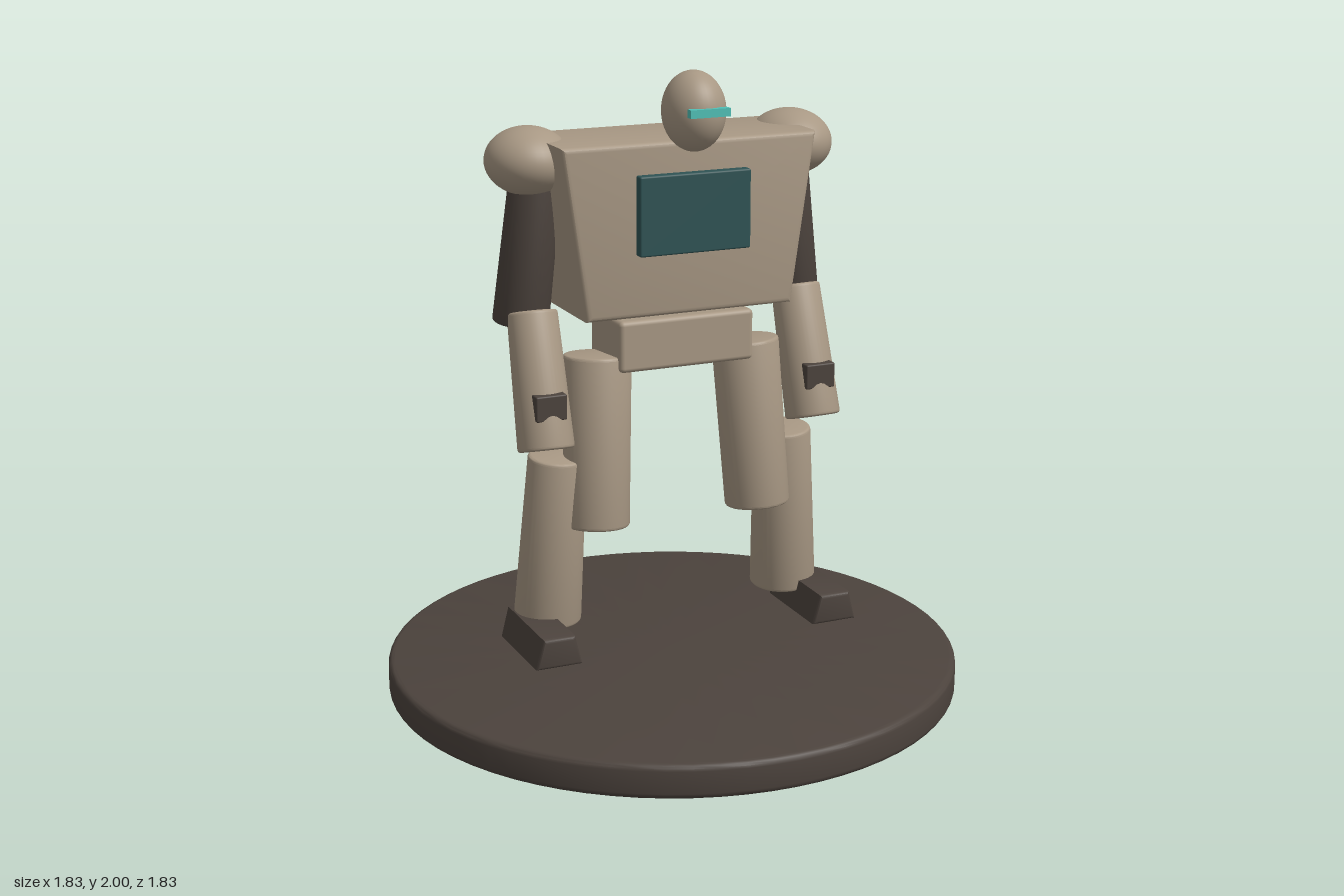
import * as THREE from 'three';
import { toCreasedNormals } from 'three/addons/utils/BufferGeometryUtils.js';
import { RoundedBoxGeometry } from 'three/addons/geometries/RoundedBoxGeometry.js';

const material = (name, color) => {
  const m = new THREE.MeshStandardMaterial({ color });
  m.name = name;
  return m;
};

// Round bar of height h with softened rims, centred on its axis
function roundBar(rBottom, rTop, h, bevel, segments) {
  const pts = [new THREE.Vector2(0, -h / 2)];
  for (let i = 0; i <= 4; i++) {
    const a = (i / 4) * Math.PI / 2;
    pts.push(new THREE.Vector2(rBottom - bevel + bevel * Math.sin(a), -h / 2 + bevel - bevel * Math.cos(a)));
  }
  for (let i = 0; i <= 4; i++) {
    const a = (i / 4) * Math.PI / 2;
    pts.push(new THREE.Vector2(rTop - bevel + bevel * Math.cos(a), h / 2 - bevel + bevel * Math.sin(a)));
  }
  pts.push(new THREE.Vector2(0, h / 2));
  return toCreasedNormals(new THREE.LatheGeometry(pts, segments), 0.45);
}

// Bevelled block with a trapezoid front, centred on the origin
function taperedBlock(halfBottom, halfTop, h, depth, bevel) {
  const s = new THREE.Shape();
  s.moveTo(-halfBottom, -h / 2);
  s.lineTo(halfBottom, -h / 2);
  s.lineTo(halfTop, h / 2);
  s.lineTo(-halfTop, h / 2);
  s.closePath();
  const g = new THREE.ExtrudeGeometry(s, {
    depth: depth - 2 * bevel, bevelThickness: bevel, bevelSize: bevel, bevelOffset: -bevel, bevelSegments: 3,
  });
  g.translate(0, 0, bevel - depth / 2);
  return toCreasedNormals(g, 0.6);
}

export function createModel() {
  const model = new THREE.Group();
  model.name = 'robotFigure';
  const tan = material('tan armour', 0xa89884);
  const dark = material('dark brown', 0x4c433d);
  const teal = material('deep teal', 0x2f5354);
  const glow = material('bright turquoise', 0x50c0b6);

  const add = (name, geometry, mat, x, y, z, parent = model) => {
    const mesh = new THREE.Mesh(geometry, mat);
    mesh.name = name;
    mesh.position.set(x, y, z);
    parent.add(mesh);
    return mesh;
  };

  // Tapered limb running from a top point to a bottom point
  const addLimb = (name, mat, top, rTop, bottom, rBottom, parent) => {
    const a = new THREE.Vector3(...top), b = new THREE.Vector3(...bottom);
    const axis = a.clone().sub(b);
    const mid = a.clone().add(b).multiplyScalar(0.5);
    const mesh = add(name, roundBar(rBottom, rTop, axis.length(), 0.01, 40), mat, mid.x, mid.y, mid.z, parent);
    mesh.quaternion.setFromUnitVectors(new THREE.Vector3(0, 1, 0), axis.normalize());
    return mesh;
  };

  const addEllipsoid = (name, mat, pos, radii, parent) =>
    add(name, new THREE.SphereGeometry(1, 40, 28), mat, ...pos, parent).scale.set(...radii);

  // Display base
  add('base', roundBar(0.915, 0.915, 0.11, 0.02, 72), dark, 0, 0.055, 0);

  // Torso and pelvis
  add('torso', taperedBlock(0.342, 0.42, 0.535, 0.35, 0.018), tan, 0, 1.522, -0.024);
  add('chestPanel', new RoundedBoxGeometry(0.366, 0.245, 0.05, 2, 0.006), teal, 0, 1.572, 0.157);
  add('pelvis', new RoundedBoxGeometry(0.45, 0.162, 0.245, 3, 0.015), tan, 0, 1.159, 0);

  // Head and visor
  addEllipsoid('head', tan, [0, 1.879, 0.16], [0.095, 0.122, 0.111]);
  add('visor', new THREE.BoxGeometry(0.128, 0.025, 0.027), glow, 0, 1.888, 0.27);

  // Arms and legs, mirrored across x
  for (const [side, s] of [['left', 1], ['right', -1]]) {
    const arm = new THREE.Group();
    arm.name = side + 'Arm';
    addEllipsoid('shoulder', tan, [s * 0.441, 1.722, -0.079], [0.132, 0.105, 0.145], arm);
    addLimb('upperArm', dark, [s * 0.412, 1.72, -0.077], 0.08, [s * 0.466, 1.215, -0.1], 0.088, arm);
    addLimb('forearm', tan, [s * 0.45, 1.263, -0.04], 0.078, [s * 0.457, 0.855, 0.085], 0.088, arm);
    add('wristBlock', new RoundedBoxGeometry(0.1, 0.08, 0.07, 2, 0.005), dark, s * 0.456, 1.0, 0.102, arm);

    const leg = new THREE.Group();
    leg.name = side + 'Leg';
    addLimb('thigh', tan, [s * 0.253, 1.117, 0], 0.107, [s * 0.279, 0.577, 0.048], 0.104, leg);
    addLimb('shin', tan, [s * 0.389, 0.807, 0], 0.092, [s * 0.416, 0.263, -0.037], 0.107, leg);
    add('foot', taperedBlock(0.076, 0.052, 0.096, 0.33, 0.012), dark, s * 0.475, 0.246, 0.063, leg);
    model.add(arm, leg);
  }
  return model;
}
